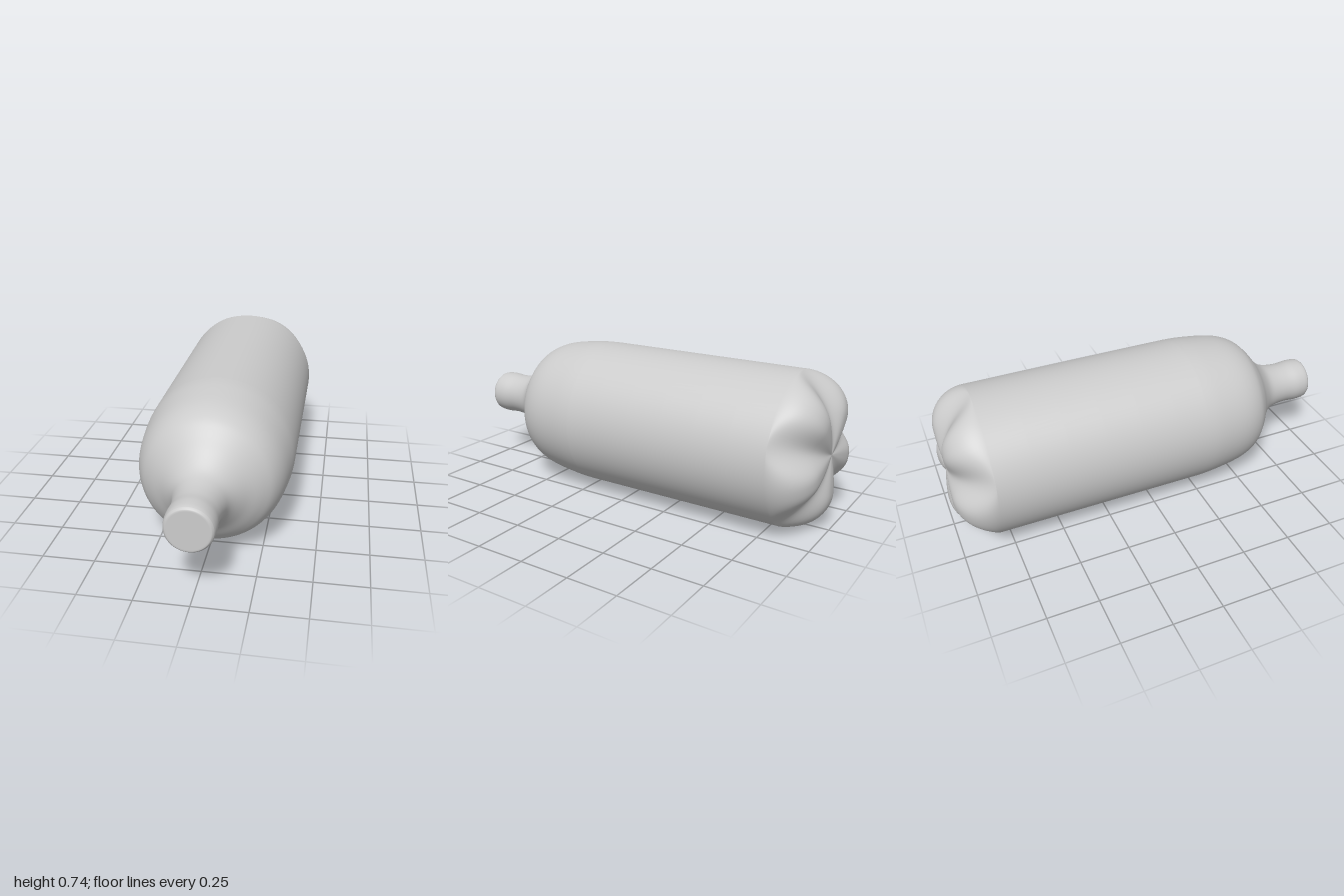
import * as THREE from 'three';
import { mergeVertices } from 'three/addons/utils/BufferGeometryUtils.js';

const R = 0.37;        // body radius, also the height of the axis
const FILLET = 0.18;   // rounding of the base lobes
const LOBES = 5;
const BASE_Z = -0.82;  // where the base meets the straight body

const V = (r, z) => new THREE.Vector2(r, z);

// Outline of the bottle from the base centre to the mouth: (radius, z)
function bottleProfile() {
  const pts = [];
  // underside, very slightly hollow at the centre
  for (let i = 0; i < 10; i++) {
    const t = i / 10;
    pts.push(V((R - FILLET) * t, -0.985 - 0.015 * Math.sin(t * Math.PI / 2)));
  }
  // rounded rim of the base
  for (let i = 0; i <= 20; i++) {
    const a = (i / 20) * Math.PI / 2;
    pts.push(V(R - FILLET + FILLET * Math.sin(a), BASE_Z - FILLET * Math.cos(a)));
  }
  // straight body
  for (let i = 1; i < 6; i++) pts.push(V(R, BASE_Z + i * 0.18));
  // shoulder and neck
  const shoulder = new THREE.SplineCurve([
    V(R, 0.24), V(0.365, 0.33), V(0.344, 0.48), V(0.31, 0.57), V(0.26, 0.625), V(0.19, 0.68),
    V(0.135, 0.74), V(0.114, 0.80), V(0.107, 0.87), V(0.111, 0.93), V(0.11, 0.97), V(0.106, 0.99),
  ]);
  pts.push(...shoulder.getPoints(55));
  // closed mouth with a tight rounded edge
  pts.push(V(0.1, 0.998), V(0.096, 1), V(0.09, 1), V(0, 1));
  return pts;
}

// Presses five soft V grooves into the base, leaving a lobe between each pair
function pressGrooves(geometry) {
  const pos = geometry.attributes.position;
  for (let i = 0; i < pos.count; i++) {
    const x = pos.getX(i), y = pos.getY(i), z = pos.getZ(i);
    if (z > BASE_Z) continue;
    const r = Math.hypot(x, y);
    const angle = Math.atan2(y, x) - Math.PI / 2;
    const weight = Math.pow(0.5 + 0.5 * Math.cos(LOBES * angle), 1.5);
    const grooveZ = -0.985 + (BASE_Z + 0.985) * Math.pow(r / R, 2.6);
    pos.setZ(i, z + (grooveZ - z) * weight);
  }
}

export function createModel() {
  const group = new THREE.Group();
  group.name = 'bottle';

  let geometry = new THREE.LatheGeometry(bottleProfile(), 120);
  geometry.rotateX(Math.PI / 2); // lay the axis along z, mouth to the front
  pressGrooves(geometry);

  // weld the seam so the surface shades smoothly all round
  geometry.deleteAttribute('uv');
  geometry.deleteAttribute('normal');
  geometry = mergeVertices(geometry, 1e-5);
  geometry.computeVertexNormals();

  const body = new THREE.Mesh(geometry, new THREE.MeshStandardMaterial({ color: 0xcccccc }));
  body.name = 'bottleBody';
  body.position.y = R;
  group.add(body);
  return group;
}
